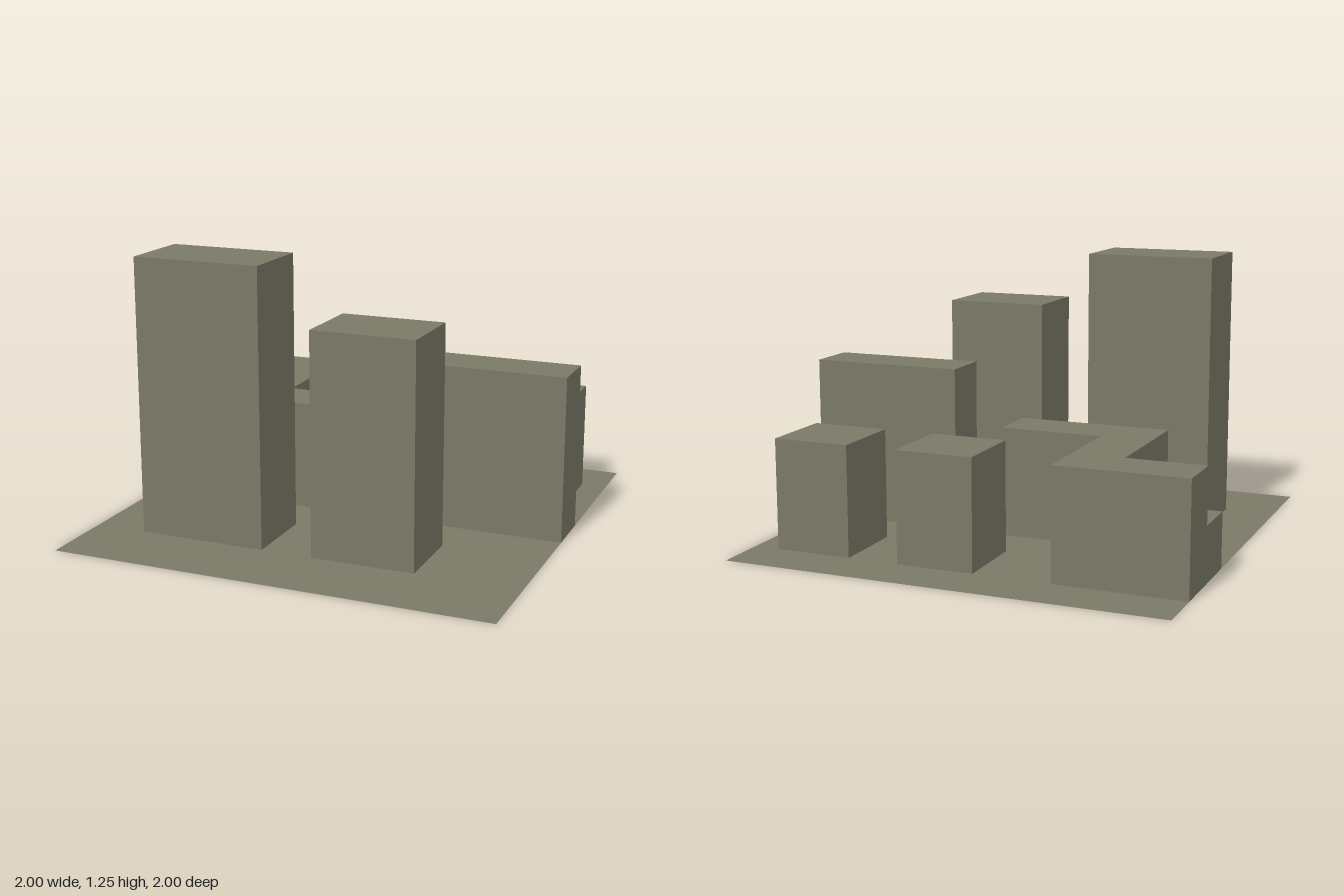
import * as THREE from 'three';
import { mergeGeometries } from 'three/addons/utils/BufferGeometryUtils.js';

const UNIT = 1 / 17; // plan grid: the plot is 34 units wide

const stone = new THREE.MeshStandardMaterial({ color: 0x7b7966, side: THREE.DoubleSide });
stone.name = 'stone';

// Plan outline of a rectangle, front edge first
const rect = (x0, x1, z0, z1) => [[x0, z1], [x1, z1], [x1, z0], [x0, z0]];

const toPoints = (outline) => outline.map(([x, z]) => new THREE.Vector2(x * UNIT, -z * UNIT));

// Level surface from a plan outline
function slab(outline, y, holes = []) {
  const shape = new THREE.Shape(toPoints(outline));
  shape.holes = holes.map((h) => new THREE.Path(toPoints(h)));
  return new THREE.ShapeGeometry(shape).rotateX(-Math.PI / 2).translate(0, y, 0);
}

// Hollow block: one wall per outline edge, a roof, and no floor
function block(outline, height) {
  const parts = [slab(outline, height)];
  outline.forEach(([ax, az], i) => {
    const [bx, bz] = outline[(i + 1) % outline.length];
    const dx = bx - ax, dz = bz - az;
    parts.push(new THREE.PlaneGeometry(Math.hypot(dx, dz) * UNIT, height)
      .rotateY(Math.atan2(-dz, dx))
      .translate((ax + bx) / 2 * UNIT, height / 2, (az + bz) / 2 * UNIT));
  });
  return mergeGeometries(parts);
}

export function createModel() {
  const model = new THREE.Group();
  model.name = 'cityBlock';
  const add = (name, geometry) => {
    const mesh = new THREE.Mesh(geometry, stone);
    mesh.name = name;
    model.add(mesh);
  };

  // Buildings
  const tall = rect(-13, -3, 5, 11);
  const medium = rect(1, 9, 5, 11);
  const smallA = rect(-1, 5, -13, -7);
  const smallB = rect(9, 15, -13, -7);
  const stepped = [[-11, 1], [1, 1], [1, -3], [-7, -3], [-7, -13], [-17, -13], [-17, -9], [-11, -9]];
  add('tallTower', block(tall, 1.25));
  add('mediumTower', block(medium, 1));
  add('longBuilding', block(rect(5, 17, -3, 1), 0.75));
  add('smallBuildingInner', block(smallA, 0.5));
  add('smallBuildingOuter', block(smallB, 0.5));
  add('zigzagBuilding', block(stepped, 0.5));
  add('lowAnnex', block(rect(-17, -11, -9, -5), 0.25));

  // Ground sheet, cut away under every building
  const plot = [
    [-17, -17], [17, -17], [17, -3], [5, -3], [5, 1], [17, 1], [17, 17], [-17, 17],
    [-17, -5], [-11, -5], [-11, 1], [1, 1], [1, -3], [-7, -3], [-7, -13], [-17, -13],
  ];
  add('ground', slab(plot, 0, [tall, medium, smallA, smallB]));

  return model;
}
